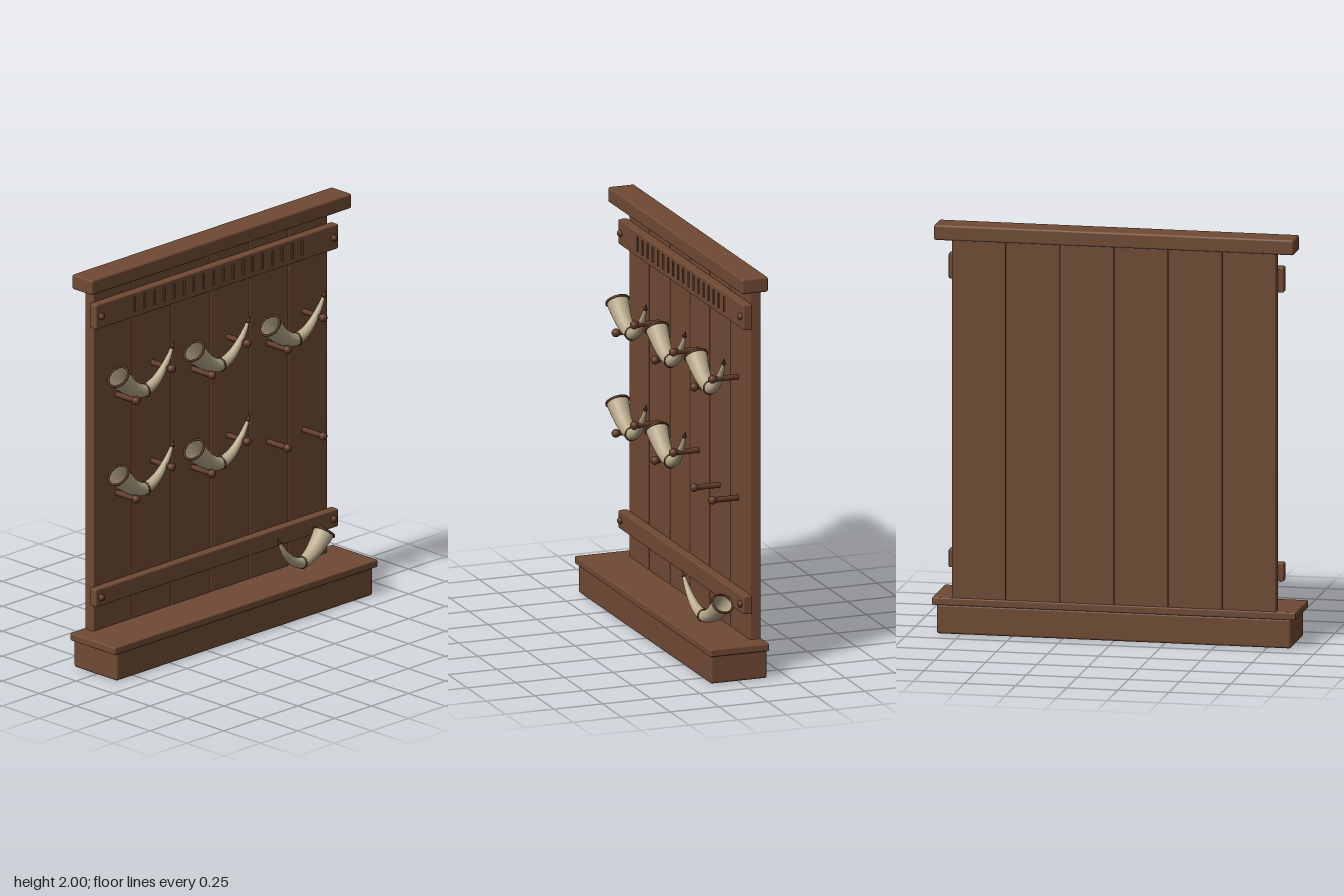
import * as THREE from 'three';
import { RoundedBoxGeometry } from 'three/addons/geometries/RoundedBoxGeometry.js';

const mat = (name, color, side = THREE.FrontSide) => {
  const m = new THREE.MeshStandardMaterial({ color, side });
  m.name = name;
  return m;
};

export function createModel() {
  const wood = mat('wood', 0x704a34);
  const darkWood = mat('darkWood', 0x5f3826);
  const hornMat = mat('horn', 0xb9aa8c, THREE.DoubleSide);
  const trim = mat('hornTrim', 0x56301f);

  const model = new THREE.Group();
  model.name = 'hornRack';

  const add = (parent, name, geo, material, x = 0, y = 0, z = 0) => {
    const m = new THREE.Mesh(geo, material);
    m.name = name;
    m.position.set(x, y, z);
    parent.add(m);
    return m;
  };
  // Bevelled box given by its limits on each axis
  const slab = (name, x0, x1, y0, y1, z0, z1, r = 0.007) =>
    add(model, name, new RoundedBoxGeometry(x1 - x0, y1 - y0, z1 - z0, 2, r), wood,
      (x0 + x1) / 2, (y0 + y1) / 2, (z0 + z1) / 2);

  // Base, ledge and top beam
  slab('base', -0.867, 0.867, 0, 0.145, -0.15, 0.142, 0.012);
  slab('ledge', -0.89, 0.89, 0.14, 0.178, -0.152, 0.153);
  slab('topBeam', -0.88, 0.88, 1.925, 2, -0.15, -0.014, 0.01);

  // Back wall of six planks
  const plankW = 1.586 / 6;
  for (let i = 0; i < 6; i++) {
    const x = -0.793 + i * plankW;
    slab('plank', x, x + plankW - 0.001, 0.17, 1.93, -0.147, -0.09, 0.006);
  }

  // Cross rails with bolts
  slab('upperRail', -0.82, 0.82, 1.728, 1.853, -0.092, -0.045);
  slab('lowerRail', -0.82, 0.82, 0.315, 0.405, -0.092, -0.045);
  const boltGeo = new THREE.SphereGeometry(0.017, 14, 10);
  for (const y of [1.79, 0.36]) {
    for (const x of [-0.787, 0.787]) add(model, 'bolt', boltGeo, darkWood, x, y, -0.043);
  }

  // Plain decorative fluting on the upper rail
  const fluteGeo = new THREE.BoxGeometry(0.011, 0.074, 0.008);
  for (let i = 0; i < 18; i++) add(model, 'flute', fluteGeo, wood, -0.56 + i * 0.0665, 1.795, -0.043);

  // Pegs with rounded knobs
  const pegGeo = new THREE.CylinderGeometry(0.014, 0.014, 0.135, 14).rotateX(Math.PI / 2);
  const knobGeo = new THREE.SphereGeometry(0.021, 16, 12);
  const addPeg = (x, y) => {
    const peg = new THREE.Group();
    peg.name = 'peg';
    add(peg, 'pegShaft', pegGeo, darkWood, 0, 0, -0.028);
    add(peg, 'pegKnob', knobGeo, darkWood, 0, 0, 0.04);
    peg.position.set(x, y, 0);
    model.add(peg);
  };

  // Horn: tapering sweep along a curve, open at the mouth
  const curve = new THREE.CatmullRomCurve3([
    [-0.175, 0.114], [-0.127, 0.066], [-0.074, 0.026], [0, 0],
    [0.074, 0.027], [0.132, 0.082], [0.17, 0.135], [0.188, 0.169],
  ].map(([x, y]) => new THREE.Vector3(x, y, 0)));
  const radii = [0.055, 0.047, 0.039, 0.031, 0.025, 0.018, 0.012, 0.008];
  const radiusAt = t => {
    const f = t * (radii.length - 1), i = Math.min(Math.floor(f), radii.length - 2);
    return THREE.MathUtils.lerp(radii[i], radii[i + 1], f - i);
  };
  const rings = 36, sides = 24, pos = [], index = [];
  for (let i = 0; i <= rings; i++) {
    const t = i / rings, c = curve.getPoint(t), d = curve.getTangent(t), r = radiusAt(t);
    for (let j = 0; j < sides; j++) {
      const a = (j / sides) * Math.PI * 2, n = Math.cos(a) * r;
      pos.push(c.x - d.y * n, c.y + d.x * n, Math.sin(a) * r);
      if (i < rings) {
        const k = (j + 1) % sides, p = i * sides, q = p + sides;
        index.push(p + j, p + k, q + j, p + k, q + k, q + j);
      }
    }
  }
  const hornGeo = new THREE.BufferGeometry();
  hornGeo.setAttribute('position', new THREE.Float32BufferAttribute(pos, 3));
  hornGeo.setIndex(index);
  hornGeo.computeVertexNormals();

  const zAxis = new THREE.Vector3(0, 0, 1), yAxis = new THREE.Vector3(0, 1, 0);
  const addHorn = (x, y, turn = 0) => {
    const horn = new THREE.Group();
    horn.name = 'drinkingHorn';
    add(horn, 'hornBody', hornGeo, hornMat);
    // Rim, middle band and tip collar
    for (const [name, t, tube] of [['mouthRim', 0, 0.006], ['middleBand', 3.1 / 7, 0.005], ['tipCollar', 1, 0.004]]) {
      const ring = add(horn, name, new THREE.TorusGeometry(radiusAt(t), tube, 8, 28), trim);
      ring.position.copy(curve.getPoint(t));
      ring.quaternion.setFromUnitVectors(zAxis, curve.getTangent(t));
    }
    const dir = curve.getTangent(1);
    const tip = add(horn, 'hornTip', new THREE.ConeGeometry(0.01, 0.036, 14), trim);
    tip.position.copy(curve.getPoint(1)).addScaledVector(dir, 0.017);
    tip.quaternion.setFromUnitVectors(yAxis, dir);
    horn.position.set(x, y, 0);
    horn.rotation.y = turn;
    model.add(horn);
    return horn;
  };

  // Two rows of three places, the last one empty
  for (let row = 0; row < 2; row++) {
    for (let col = 0; col < 3; col++) {
      const dx = col * 0.513, dy = row * -0.5, empty = row === 1 && col === 2;
      addPeg(-0.635 + dx, 1.343 + dy);
      addPeg(-0.395 + dx, (empty ? 1.343 : 1.445) + dy);
      if (!empty) addHorn(-0.54 + dx, 1.362 + dy);
    }
  }

  // Loose horn above the ledge, turned round
  const loose = addHorn(0.5, 0.233, Math.PI + 0.16);
  loose.name = 'looseHorn';
  loose.position.z = 0.033;
  loose.scale.set(1, 0.9, 0.95);

  return model;
}
